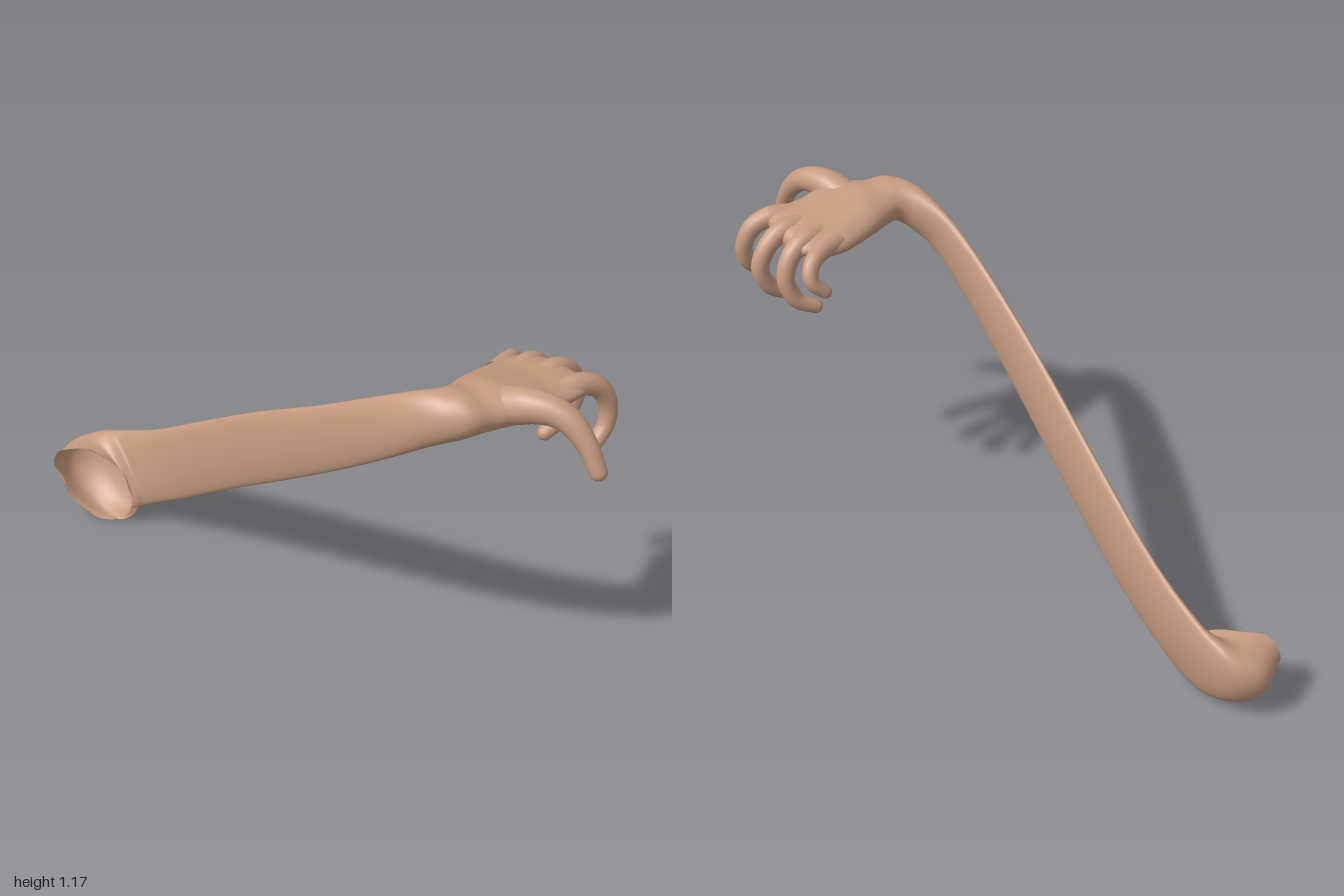
import * as THREE from 'three';

const V = (p) => new THREE.Vector3(...p);

// Skin a list of rings { c, a, b }: centre and two half-axis vectors
function skin(rings, sides) {
  const pos = [], index = [];
  rings.forEach(({ c, a, b }, i) => {
    for (let j = 0; j < sides; j++) {
      const t = (j / sides) * Math.PI * 2;
      const p = c.clone().addScaledVector(a, Math.cos(t)).addScaledVector(b, Math.sin(t));
      // the cut end has a slightly uneven edge
      if (rings.uneven && i === 0) p.z += 0.012 * Math.sin(3 * t + 1) + 0.006 * Math.sin(7 * t);
      pos.push(p.x, p.y, p.z);
      if (i < rings.length - 1) {
        const k = i * sides + j, n = i * sides + ((j + 1) % sides);
        index.push(k, k + sides, n, n, k + sides, n + sides);
      }
    }
  });
  const g = new THREE.BufferGeometry();
  g.setAttribute('position', new THREE.Float32BufferAttribute(pos, 3));
  g.setIndex(index);
  g.computeVertexNormals();
  return g;
}

// Smoothly interpolated loft through sections [centre, front axis, upper axis]
function loft(sections, steps, sides) {
  const curves = [0, 1, 2].map((k) =>
    new THREE.CatmullRomCurve3(sections.map((s) => V(s[k])), false, 'catmullrom', 0.5));
  const rings = [];
  for (let i = 0; i <= steps; i++) {
    const [c, a, b] = curves.map((q) => q.getPoint(i / steps));
    rings.push({ c, a, b });
  }
  rings.uneven = true;
  return skin(rings, sides);
}

// Tapered, curled digit with a round tip
function digit(points, radii) {
  const curve = new THREE.CatmullRomCurve3(points.map(V));
  const steps = 28, caps = 6;
  const f = curve.computeFrenetFrames(steps, false);
  const rings = [];
  const add = (c, i, r) => rings.push({
    c, a: f.binormals[i].clone().multiplyScalar(r), b: f.normals[i].clone().multiplyScalar(r),
  });
  for (let i = 0; i <= steps; i++) {
    const u = (i / steps) * (radii.length - 1);
    const k = Math.min(Math.floor(u), radii.length - 2);
    add(curve.getPointAt(i / steps), i, THREE.MathUtils.lerp(radii[k], radii[k + 1], u - k));
  }
  const end = curve.getPointAt(1), r = radii[radii.length - 1];
  for (let i = 1; i <= caps; i++) {
    const t = (i / caps) * Math.PI / 2;
    add(end.clone().addScaledVector(f.tangents[steps], r * Math.sin(t)), steps, r * Math.cos(t));
  }
  return skin(rings, 16);
}

export function createModel() {
  const group = new THREE.Group();
  const skinMat = new THREE.MeshStandardMaterial({ color: 0xc69a80, side: THREE.DoubleSide });
  skinMat.name = 'skin';
  const add = (name, geometry) => {
    const m = new THREE.Mesh(geometry, skinMat);
    m.name = name;
    group.add(m);
  };

  // Open cup, flat stretched forearm and bend into the wrist
  const arm = [
    [[-0.83, 0.135, 0.34], [0.125, -0.02, -0.085], [-0.03, 0.13, 0.01]],
    [[-0.86, 0.135, 0.3], [0.138, 0, -0.03], [-0.045, 0.13, 0]],
    [[-0.825, 0.16, 0.252], [0.11, 0.03, 0.01], [-0.075, 0.122, 0]],
    [[-0.745, 0.205, 0.225], [0.05, 0.01, 0.026], [-0.076, 0.11, 0]],
    [[-0.55, 0.318, 0.2], [0.005, 0, 0.026], [-0.07, 0.101, 0]],
    [[-0.28, 0.5, 0.19], [0, 0, 0.026], [-0.066, 0.095, 0]],
    [[0, 0.685, 0.187], [0, 0, 0.025], [-0.063, 0.09, 0]],
    [[0.27, 0.858, 0.18], [0, 0, 0.025], [-0.055, 0.08, 0]],
    [[0.47, 0.99, 0.157], [0.01, 0, 0.028], [-0.045, 0.074, 0]],
    [[0.583, 1.06, 0.115], [0.047, 0.012, 0.03], [-0.025, 0.075, 0]],
    [[0.643, 1.088, 0.06], [0.08, 0.01, 0.015], [-0.013, 0.068, 0]],
    [[0.65, 1.086, 0], [0.098, 0.005, 0], [0, 0.064, 0]],
  ];
  // Palm, widening and then closing at the knuckles
  const palm = [
    [[0.651, 1.085, -0.06], [0.122, 0.012, 0], [0, 0.066, 0]],
    [[0.65, 1.077, -0.13], [0.142, 0.016, 0], [0, 0.06, 0]],
    [[0.638, 1.068, -0.2], [0.145, 0.015, 0], [0, 0.053, 0]],
    [[0.64, 1.068, -0.265], [0.142, 0.012, 0], [0, 0.047, 0]],
    [[0.648, 1.07, -0.315], [0.125, 0.01, 0], [0, 0.037, 0]],
    [[0.652, 1.07, -0.338], [0.09, 0.008, 0], [0, 0.022, 0]],
    [[0.655, 1.07, -0.345], [0, 0, 0], [0, 0, 0]],
  ];
  add('armAndPalm', loft([...arm, ...palm], 170, 48));

  // Curled digits
  const fingerRadii = [0.04, 0.034, 0.03, 0.028, 0.026, 0.023];
  add('thumb', digit(
    [[0.68, 1.085, -0.06], [0.79, 1.122, -0.105], [0.865, 1.112, -0.14], [0.925, 1.06, -0.16], [0.972, 0.985, -0.17]],
    [0.058, 0.052, 0.04, 0.031, 0.025]));
  add('indexFinger', digit(
    [[0.73, 1.075, -0.25], [0.745, 1.085, -0.32], [0.76, 1.06, -0.375], [0.772, 1, -0.406],
      [0.777, 0.94, -0.4], [0.78, 0.893, -0.36]], fingerRadii));
  add('middleFinger', digit(
    [[0.65, 1.075, -0.25], [0.648, 1.085, -0.32], [0.645, 1.05, -0.38], [0.643, 0.98, -0.415],
      [0.638, 0.905, -0.385], [0.632, 0.868, -0.315]], fingerRadii));
  add('ringFinger', digit(
    [[0.585, 1.07, -0.23], [0.57, 1.075, -0.295], [0.557, 1.04, -0.35], [0.547, 0.97, -0.375],
      [0.532, 0.9, -0.35], [0.518, 0.868, -0.295]], fingerRadii));
  add('littleFinger', digit(
    [[0.54, 1.06, -0.2], [0.51, 1.06, -0.265], [0.482, 1.04, -0.315], [0.46, 0.995, -0.33],
      [0.447, 0.955, -0.293]], [0.04, 0.031, 0.027, 0.024, 0.021]));

  return group;
}
